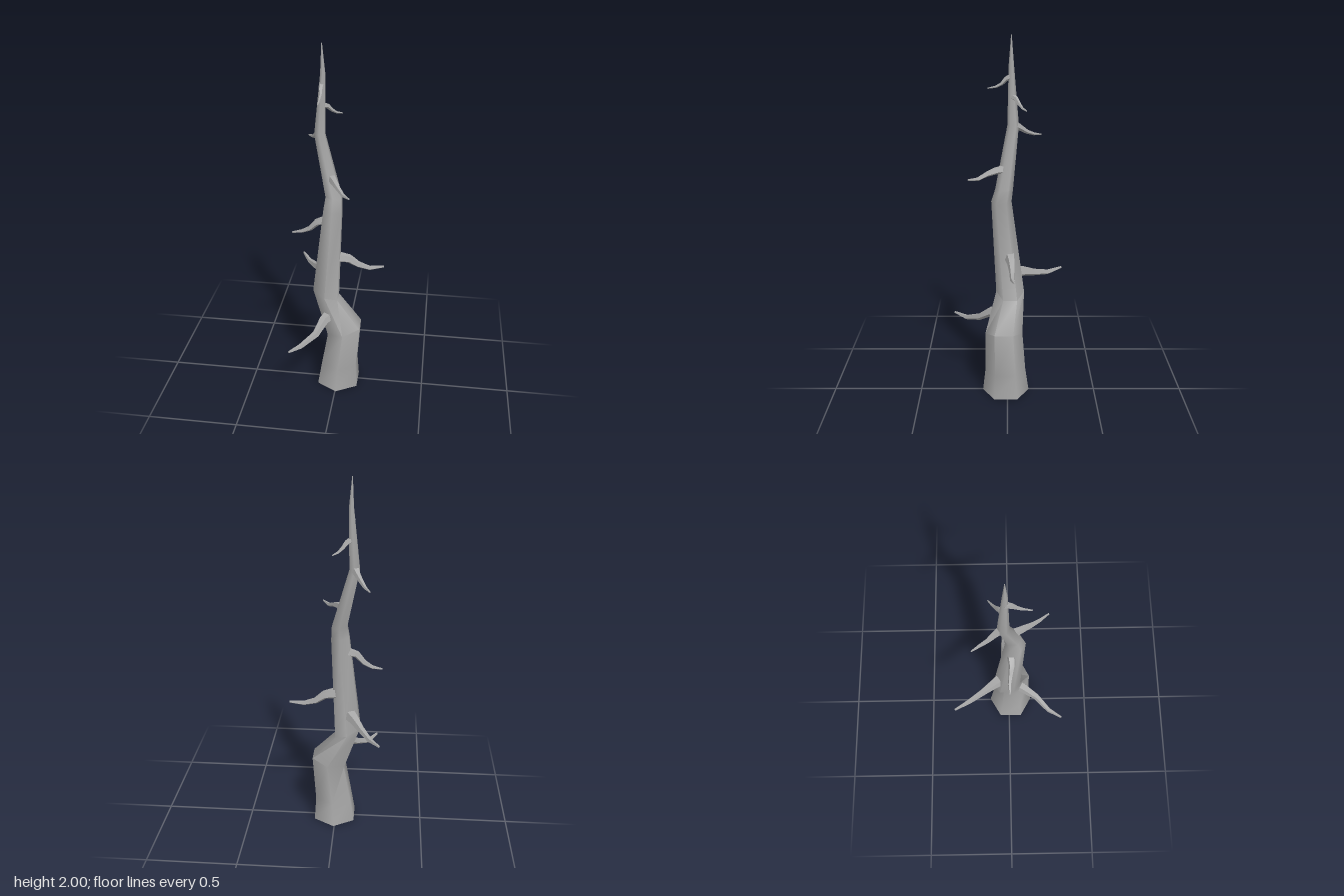
import * as THREE from 'three';
import { toCreasedNormals } from 'three/addons/utils/BufferGeometryUtils.js';

// Skin a list of equal-sized rings (counter-clockwise around the path) and cap both ends.
function loft(rings) {
  const n = rings[0].length;
  const last = rings.length - 1;
  const pos = [];
  const index = [];
  rings.forEach((ring) => ring.forEach((p) => pos.push(p.x, p.y, p.z)));
  for (let i = 0; i < last; i++) {
    for (let k = 0; k < n; k++) {
      const a = i * n + k, b = i * n + (k + 1) % n;
      index.push(a, b, b + n, a, b + n, a + n);
    }
  }
  for (let k = 1; k < n - 1; k++) {
    index.push(0, k + 1, k);
    index.push(last * n, last * n + k, last * n + k + 1);
  }
  const geo = new THREE.BufferGeometry();
  geo.setAttribute('position', new THREE.Float32BufferAttribute(pos, 3));
  geo.setIndex(index);
  return toCreasedNormals(geo, 1.1);
}

// Tilted hexagon with corners towards front and back; slope lifts it along x.
function trunkRing([x, y, z, r, slope]) {
  return Array.from({ length: 6 }, (_, k) => {
    const a = (k * Math.PI) / 3;
    const dx = Math.sin(a) * r;
    return new THREE.Vector3(x + dx, y + dx * slope, z + Math.cos(a) * r);
  });
}

// Five-sided tapering branch along a few points.
function branchGeometry(points, size) {
  const path = points.map((p) => new THREE.Vector3(...p));
  const up = new THREE.Vector3(0, 1, 0);
  const last = path.length - 1;
  const taper = [1, 0.78, 0.56, 0.4, 0.17];
  const rings = path.map((p, i) => {
    const t = path[Math.min(i + 1, last)].clone().sub(path[Math.max(i - 1, 0)]).normalize();
    const u = t.clone().cross(up).normalize();
    const v = t.clone().cross(u);
    const r = size * taper[i];
    return Array.from({ length: 5 }, (_, k) => {
      const a = (k / 5) * Math.PI * 2 + Math.PI / 2;
      return p.clone().addScaledVector(u, Math.cos(a) * r).addScaledVector(v, Math.sin(a) * r);
    });
  });
  return loft(rings);
}

export function createModel() {
  const group = new THREE.Group();
  group.name = 'deadTree';
  const bark = new THREE.MeshStandardMaterial({ color: 0xa6a6a6 });
  bark.name = 'grey bark';

  // Crooked trunk: centre x, y, z, radius, slope
  const trunk = new THREE.Mesh(loft([
    [0.005, 0, 0.01, 0.132, 0],
    [0.012, 0.14, 0.012, 0.114, 0],
    [0.04, 0.375, 0.02, 0.104, 0.28],
    [-0.07, 0.585, -0.015, 0.079, -0.45],
    [-0.023, 1.13, 0.033, 0.055, -0.2],
    [-0.02, 1.2, 0.018, 0.048, -0.1],
    [-0.1, 1.53, -0.03, 0.031, 0],
    [-0.08, 1.85, -0.02, 0.014, 0],
    [-0.084, 2, -0.02, 0.002, 0],
  ].map(trunkRing)), bark);
  trunk.name = 'trunk';
  group.add(trunk);

  // Drooping branches, listed from the bottom upwards
  const branches = {
    lowFrontBranch: [0.036, [[-0.03, 0.475, 0.03], [-0.07, 0.46, 0.095], [-0.105, 0.41, 0.165], [-0.18, 0.372, 0.24], [-0.23, 0.383, 0.314]]],
    lowBackBranch: [0.036, [[-0.085, 0.7, -0.055], [-0.115, 0.69, -0.1], [-0.15, 0.67, -0.155], [-0.2, 0.652, -0.235], [-0.25, 0.662, -0.315]]],
    leftBranch: [0.032, [[0.0, 0.815, -0.015], [0.06, 0.805, -0.022], [0.11, 0.77, -0.027], [0.175, 0.752, -0.026], [0.253, 0.762, -0.036]]],
    rightBranch: [0.026, [[-0.06, 1.055, 0.01], [-0.115, 1.038, 0.015], [-0.155, 0.995, 0.008], [-0.2, 0.972, 0.001], [-0.254, 0.962, 0.002]]],
    highFrontBranch: [0.025, [[-0.035, 1.305, 0.015], [-0.01, 1.3, 0.065], [0.015, 1.288, 0.11], [0.047, 1.27, 0.155], [0.083, 1.275, 0.206]]],
    highBackBranch: [0.022, [[-0.105, 1.53, -0.045], [-0.118, 1.513, -0.07], [-0.14, 1.488, -0.105], [-0.16, 1.472, -0.145], [-0.185, 1.464, -0.185]]],
    topBackTwig: [0.017, [[-0.085, 1.685, -0.025], [-0.06, 1.675, -0.045], [-0.04, 1.65, -0.062], [-0.018, 1.632, -0.078], [0.01, 1.622, -0.1]]],
    topFrontTwig: [0.017, [[-0.085, 1.79, -0.02], [-0.085, 1.775, 0.01], [-0.083, 1.752, 0.03], [-0.085, 1.736, 0.06], [-0.087, 1.727, 0.105]]],
  };
  for (const [name, [size, points]] of Object.entries(branches)) {
    const mesh = new THREE.Mesh(branchGeometry(points, size), bark);
    mesh.name = name;
    group.add(mesh);
  }
  return group;
}
